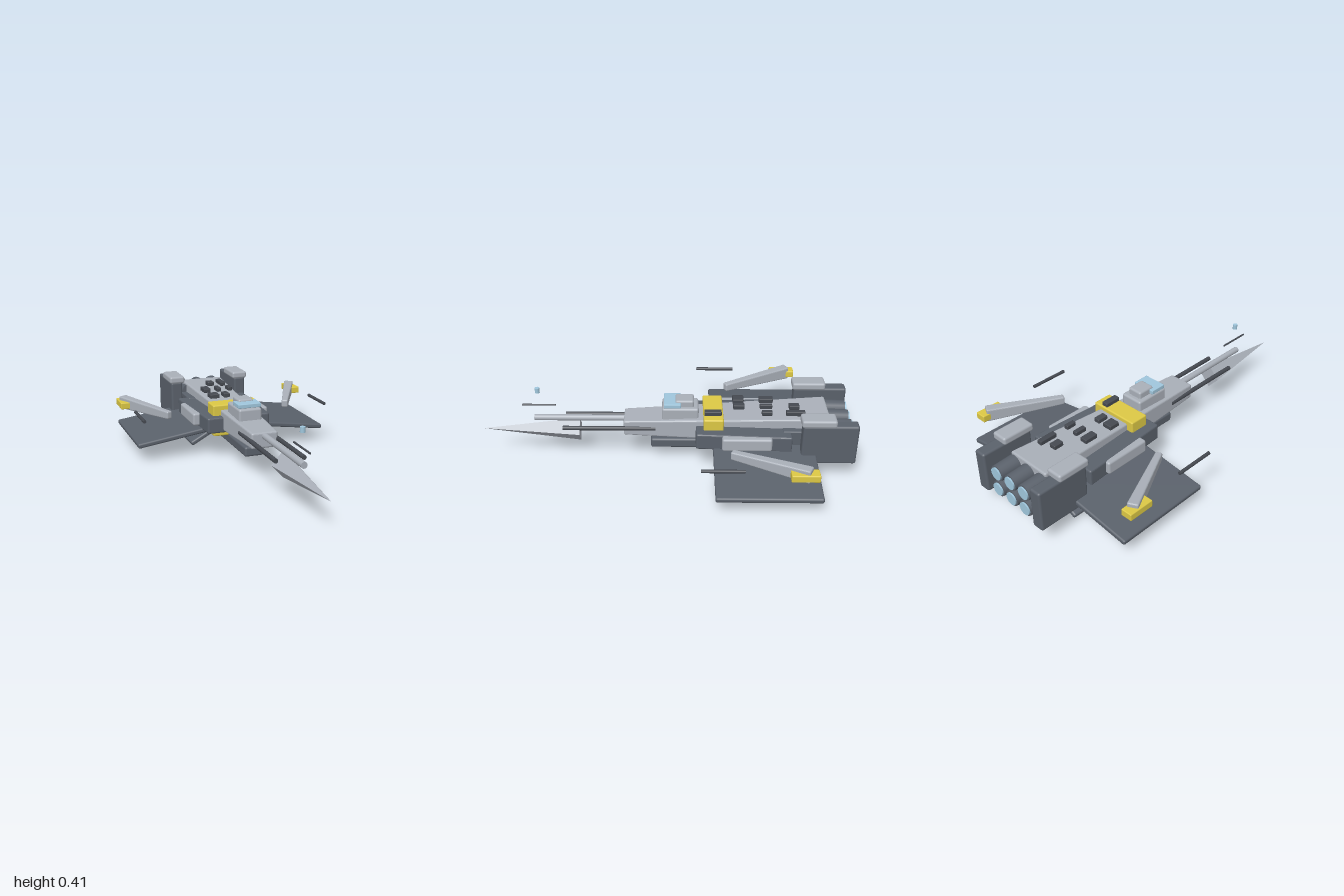
import * as THREE from 'three';
import { RoundedBoxGeometry } from 'three/addons/geometries/RoundedBoxGeometry.js';

const mat = (color) => new THREE.MeshStandardMaterial({ color });
const LIGHT = mat(0xa9afb8), DARK = mat(0x5a616b), BLACK = mat(0x454950);
const YELLOW = mat(0xdcc845), BLUE = mat(0x9fc6dc);

export function createModel() {
  const root = new THREE.Group();

  const add = (name, geometry, material, x = 0, y = 0, z = 0) => {
    const mesh = new THREE.Mesh(geometry, material);
    mesh.name = name;
    mesh.position.set(x, y, z);
    root.add(mesh);
    return mesh;
  };

  // Bevelled box given by its limits on each axis
  const box = (name, material, [x0, x1], [y0, y1], [z0, z1], bevel = 0.008) => {
    const w = x1 - x0, h = y1 - y0, d = z1 - z0;
    const r = Math.min(bevel, w * 0.3, h * 0.3, d * 0.3);
    return add(name, new RoundedBoxGeometry(w, h, d, 2, r), material,
      (x0 + x1) / 2, (y0 + y1) / 2, (z0 + z1) / 2);
  };

  // Bevelled bar along z whose section runs from back to front: [width, bottom, top]
  const taperedBar = (length, back, front, bevel = 0.01) => {
    const g = new RoundedBoxGeometry(1, 1, length, 2, bevel);
    const p = g.attributes.position;
    for (let i = 0; i < p.count; i++) {
      const t = p.getZ(i) / length + 0.5;
      const [w, b, top] = back.map((v, k) => THREE.MathUtils.lerp(v, front[k], t));
      // keep the bevel the same size after shrinking the unit section
      const squeeze = (v, size) => {
        const inset = Math.min(0.5 - Math.abs(v), bevel);
        return Math.abs(v) < 1e-6 ? 0 : Math.sign(v) * (size / 2 - inset);
      };
      p.setX(i, squeeze(p.getX(i), w));
      p.setY(i, (b + top) / 2 + squeeze(p.getY(i), top - b));
    }
    g.computeVertexNormals();
    return g;
  };

  // Round bar along z
  const rod = (name, material, r, x, y, z0, z1, rFront = r) =>
    add(name, new THREE.CylinderGeometry(rFront, r, z1 - z0, 16).rotateX(Math.PI / 2),
      material, x, y, (z0 + z1) / 2);

  // Hull
  add('fuselage', taperedBar(1.09, [0.255, 0.15, 0.308], [0.145, 0.172, 0.257]), LIGHT, 0, 0, -0.325);
  add('midHull', taperedBar(0.5, [0.42, 0.155, 0.245], [0.365, 0.155, 0.245]), DARK, 0, 0, -0.415);
  box('rearHull', DARK, [-0.155, 0.155], [0.12, 0.25], [-0.8, -0.62]);
  box('keel', DARK, [-0.055, 0.055], [0.082, 0.137], [-0.72, 0.075], 0.012);
  box('upperCollar', YELLOW, [-0.138, 0.138], [0.235, 0.305], [-0.31, -0.205]);
  box('lowerCollar', YELLOW, [-0.138, 0.138], [0.127, 0.17], [-0.31, -0.2]);

  // Cockpit
  box('cockpitBase', LIGHT, [-0.065, 0.065], [0.25, 0.33], [-0.18, 0.015], 0.012);
  box('cockpitRoof', LIGHT, [-0.043, 0.043], [0.32, 0.367], [-0.155, -0.055], 0.012);
  box('windscreen', BLUE, [-0.065, 0.065], [0.333, 0.356], [-0.085, 0.005], 0.004);

  // Nose lance, diamond in section
  const lance = new THREE.ConeGeometry(0.07, 0.53, 4).rotateX(Math.PI / 2).scale(0.92, 1, 1).toNonIndexed();
  lance.computeVertexNormals();
  add('noseLance', lance, LIGHT, 0, 0.165, 0.725);
  rod('mainBarrel', LIGHT, 0.017, 0, 0.238, 0.18, 0.705);
  rod('aerial', BLACK, 0.005, 0, 0.315, 0.585, 0.765);
  add('sensor', new THREE.CylinderGeometry(0.013, 0.013, 0.028, 12), BLUE, 0, 0.404, 0.678);

  // Deck fittings: x, z, width, depth
  [[0, -0.69, 0.04, 0.055], [0.07, -0.69, 0.03, 0.1],
    [-0.073, -0.545, 0.042, 0.075], [0, -0.54, 0.026, 0.066], [0.07, -0.54, 0.025, 0.056],
    [-0.073, -0.395, 0.055, 0.06], [0, -0.395, 0.035, 0.06], [0.072, -0.255, 0.036, 0.09],
  ].forEach(([x, z, w, d]) =>
    box('deckFitting', BLACK, [x - w / 2, x + w / 2], [0.302, 0.326], [z - d / 2, z + d / 2], 0.004));

  // Engines in two rows of three
  for (const x of [-0.1, 0, 0.1]) {
    for (const y of [0.155, 0.25]) {
      rod('engine', DARK, 0.042, x, y, -0.98, -0.78, 0.05);
      rod('engineGlow', BLUE, 0.034, x, y, -0.988, -0.95);
    }
  }

  // Flat panel between two points of the front plane
  const panel = (name, s, [x0, y0], [x1, y1], thick, z0, z1) => {
    const g = new RoundedBoxGeometry(Math.hypot(x1 - x0, y1 - y0), thick, z1 - z0, 2, 0.01);
    const mesh = add(name, g, DARK, s * (x0 + x1) / 2, (y0 + y1) / 2, (z0 + z1) / 2);
    mesh.rotation.z = s * Math.atan2(y1 - y0, x1 - x0);
  };

  // Paired parts
  for (const s of [1, -1]) {
    const span = (a, b) => (s > 0 ? [a, b] : [-b, -a]);
    panel('wing', s, [0.08, 0.166], [0.558, 0.098], 0.028, -0.79, -0.255);
    panel('lowerFin', s, [0.03, 0.102], [0.194, 0.013], 0.027, -0.77, -0.45);
    box('tailPod', DARK, span(0.168, 0.237), [0.105, 0.33], [-0.998, -0.71], 0.012);
    box('tailPodCap', LIGHT, span(0.155, 0.246), [0.325, 0.367], [-0.88, -0.7], 0.014);
    box('sponson', LIGHT, span(0.175, 0.227), [0.17, 0.242], [-0.56, -0.3], 0.012);
    rod('sideBarrel', BLACK, 0.012, s * 0.075, 0.216, 0.05, 0.545);

    // Wing strut, thick at the tip and thin inboard
    const outer = new THREE.Vector3(s * 0.54, 0.244, -0.715);
    const inner = new THREE.Vector3(s * 0.352, 0.237, -0.34);
    const strut = add('wingStrut',
      taperedBar(outer.distanceTo(inner), [0.056, -0.036, 0.036], [0.036, -0.022, 0.022], 0.008), LIGHT);
    strut.position.copy(outer).lerp(inner, 0.5);
    strut.lookAt(inner);
    box('wingTipBlock', YELLOW, span(0.507, 0.57), [0.22, 0.258], [-0.755, -0.615], 0.005);
    rod('wingTipGun', BLACK, 0.009, s * 0.535, 0.26, -0.395, -0.18);
  }
  return root;
}
